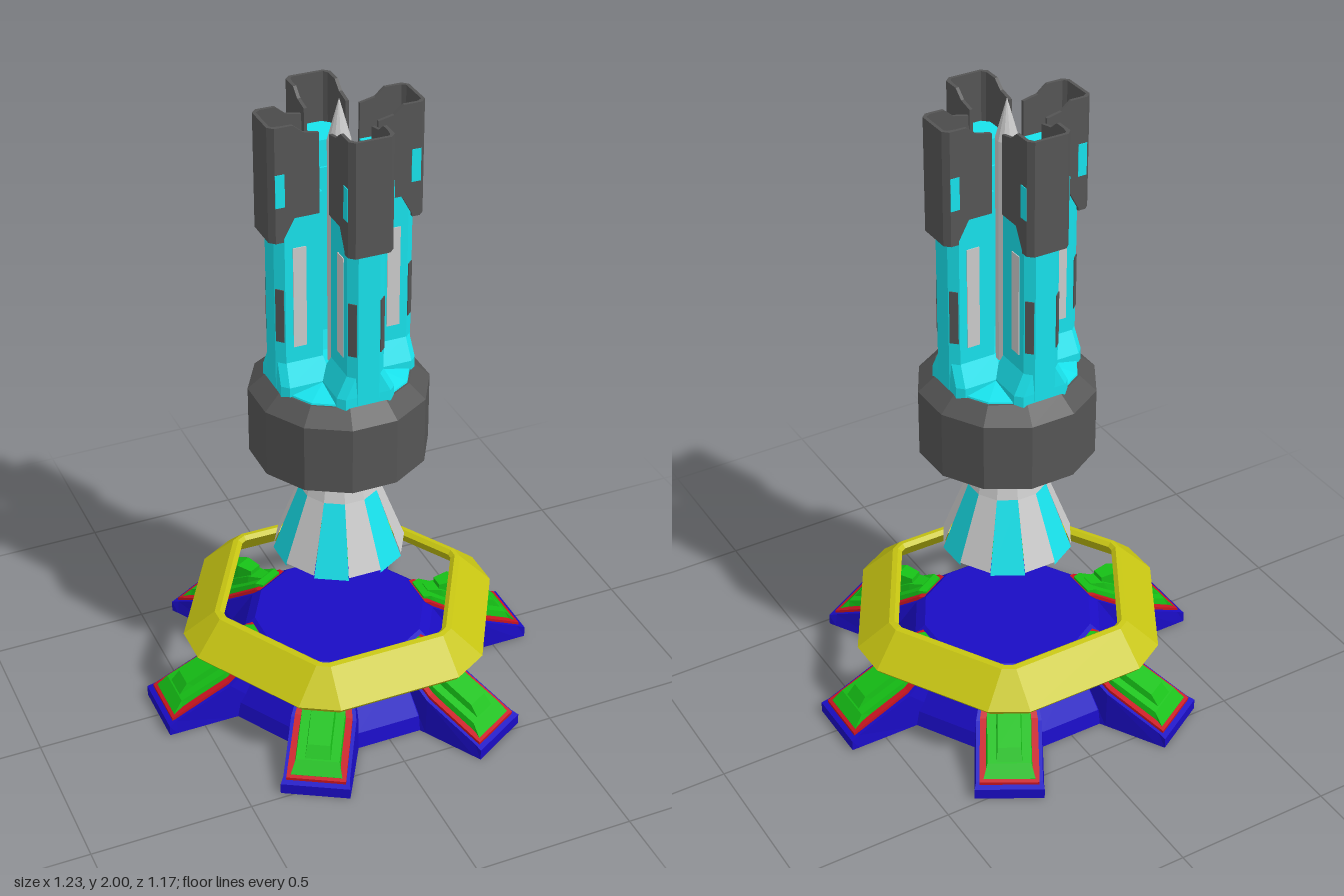
import * as THREE from 'three';

const mat = (color) => new THREE.MeshStandardMaterial({ color, flatShading: true });
const BLUE = mat(0x1a0cc4), GREEN = mat(0x16c016), RED = mat(0xc81420), YELLOW = mat(0xc6c412);
const CYAN = mat(0x18e2ec), DARK = mat(0x555555), GREY = mat(0xcccccc);

// Joins rings of [x, y, z] points (counter-clockwise about the direction of travel)
function loft(name, material, rings, { caps = true, closed = false, keep = () => true } = {}) {
  const pos = [], n = rings[0].length, m = rings.length;
  const tri = (...p) => p.forEach((q) => pos.push(...q));
  for (let i = 0; i < (closed ? m : m - 1); i++) {
    const lo = rings[i], hi = rings[(i + 1) % m];
    for (let j = 0; j < n; j++) {
      if (!keep(j)) continue;
      const k = (j + 1) % n;
      tri(lo[j], lo[k], hi[k]);
      tri(lo[j], hi[k], hi[j]);
    }
  }
  if (caps && !closed) {
    for (let j = 1; j < n - 1; j++) {
      tri(rings[0][0], rings[0][j + 1], rings[0][j]);
      tri(rings[m - 1][0], rings[m - 1][j], rings[m - 1][j + 1]);
    }
  }
  const g = new THREE.BufferGeometry();
  g.setAttribute('position', new THREE.Float32BufferAttribute(pos, 3));
  g.computeVertexNormals();
  const mesh = new THREE.Mesh(g, material);
  mesh.name = name;
  return mesh;
}

// Twelve-sided ring with flats facing the axes; r is the distance to the flats
const dodecagon = (r, y) => Array.from({ length: 12 }, (_, j) => {
  const a = ((j - 0.5) * Math.PI) / 6, c = r / Math.cos(Math.PI / 12);
  return [c * Math.sin(a), y, c * Math.cos(a)];
});
const turned = (name, material, profile, opts) =>
  loft(name, material, profile.map(([r, y]) => dodecagon(r, y)), opts);

// Slab running outwards along +x; stations are [x, bottom, top, bottomHalfWidth, topHalfWidth]
const slab = (name, material, stations) => loft(name, material,
  stations.map(([x, y0, y1, h0, h1 = h0]) => [[x, y0, -h0], [x, y1, -h1], [x, y1, h1], [x, y0, h0]]));

// Vertical prism from a plan outline of [x, z]
const prism = (name, material, outline, levels) =>
  loft(name, material, levels.map((y) => outline.map(([x, z]) => [x, y, z])));

function box(name, material, size, at) {
  const mesh = new THREE.Mesh(new THREE.BoxGeometry(...size), material);
  mesh.position.set(...at);
  mesh.name = name;
  return mesh;
}

function baseArm() {
  const g = new THREE.Group();
  g.name = 'baseArm';
  g.add(
    slab('armFoot', BLUE, [[0.2, 0, 0.21, 0.105, 0.065], [0.28, 0, 0.205, 0.105, 0.075],
      [0.41, 0, 0.125, 0.105, 0.1], [0.59, 0, 0.045, 0.105, 0.1], [0.615, 0, 0.035, 0.105]]),
    slab('armTrim', RED, [[0.265, 0.1, 0.217, 0.06], [0.29, 0.1, 0.212, 0.066],
      [0.41, 0.05, 0.135, 0.088], [0.6, 0.02, 0.05, 0.09]]),
    slab('armPlate', GREEN, [[0.275, 0.1, 0.222, 0.046, 0.042], [0.3, 0.1, 0.222, 0.054, 0.05],
      [0.41, 0.05, 0.155, 0.076, 0.066], [0.56, 0.02, 0.09, 0.078, 0.066], [0.59, 0.02, 0.055, 0.078]]),
    slab('armRidge', GREEN, [[0.3, 0.1, 0.225, 0.03, 0.02], [0.345, 0.1, 0.218, 0.04, 0.03],
      [0.42, 0.05, 0.175, 0.05, 0.035], [0.53, 0.03, 0.125, 0.05, 0.035], [0.565, 0.02, 0.08, 0.05, 0.04]]),
    slab('ringStrut', GREEN, [[0.34, 0.15, 0.235, 0.022], [0.39, 0.15, 0.24, 0.028], [0.45, 0.19, 0.215, 0.03]]),
  );
  return g;
}

// Hexagon with cut corners; c is the distance to the corner cuts
function hexRing([c, y]) {
  const apothem = 0.465 - (0.5 - c) * 1.1, t = (apothem / Math.cos(Math.PI / 6) - c) * Math.sqrt(3);
  const ring = [];
  for (let i = 0; i < 6; i++) {
    const a = Math.PI / 2 + (i * Math.PI) / 3;
    for (const s of [-t, t]) {
      ring.push([c * Math.sin(a) + s * Math.cos(a), y, c * Math.cos(a) - s * Math.sin(a)]);
    }
  }
  return ring;
}

// One of the four upright blades, built towards +z
function blade() {
  const g = new THREE.Group();
  g.name = 'blade';
  const plan = (w, inner, outer, cut) => [[-w, inner], [-w, outer - cut], [cut - w, outer],
    [w - cut, outer], [w, outer - cut], [w, inner]];
  const body = plan(0.057, 0.075, 0.213, 0.024);
  g.add(prism('bladeBody', CYAN, body, [1.14, 1.76]));
  g.add(loft('bladeTop', CYAN, [[0.055, 0.08, 0.205, 1.74], [0.052, 0.085, 0.2, 1.84]]
    .map(([w, a, b, y]) => plan(w, a, b, 0.02).map(([x, z]) => [x, y, z]))));
  g.add(loft('bladeFoot', CYAN, [[0.09, 0.06, 0.212, 1.13], [0.09, 0.06, 0.212, 1.165], [0.057, 0.075, 0.208, 1.23]]
    .map(([w, a, b, y]) => plan(w, a, b, 0.02).map(([x, z]) => [x, y, z]))));

  // Dark sleeve: folded outer wall and two cheeks
  const w = 0.068, c = 0.016, t = 0.01;
  g.add(prism('sleeveWall', DARK, [[w - c, 0.235], [w, 0.235 - c], [w, 0.195], [w - t, 0.195],
    [w - t, 0.231 - c], [w - c - 0.004, 0.225]], [1.63, 1.98]));
  g.add(prism('sleeveWall', DARK, [[-w, 0.195], [-w, 0.235 - c], [c - w, 0.235],
    [c - w + 0.004, 0.225], [t - w, 0.231 - c], [t - w, 0.195]], [1.63, 1.98]));
  g.add(box('sleeveFront', DARK, [2 * (w - c), 0.35, t], [0, 1.805, 0.23]));
  const cheek = new THREE.Shape([[0.2, 1.63], [0.2, 1.98], [0.165, 1.98], [0.135, 1.955], [0.088, 1.945],
    [0.088, 1.7], [0.162, 1.7]].map(([z, y]) => new THREE.Vector2(-z, y)));
  const cheekGeo = new THREE.ExtrudeGeometry(cheek, { depth: t, bevelEnabled: false });
  cheekGeo.rotateY(Math.PI / 2);
  for (const s of [-1, 1]) {
    const m = new THREE.Mesh(cheekGeo, DARK);
    m.name = 'sleeveCheek';
    m.position.x = s > 0 ? w - t : -w;
    g.add(m);
    g.add(box('sleeveWindow', CYAN, [0.004, 0.1, 0.028], [s * w, 1.79, 0.205]));
    g.add(box('sideSlot', GREY, [0.005, 0.32, 0.04], [s * 0.057, 1.44, 0.145]));
    // Dark vent let into the bevelled corner
    const vent = box('cornerVent', DARK, [0.026, 0.17, 0.006], [s * 0.045, 1.385, 0.201]);
    vent.rotation.y = (s * Math.PI) / 4;
    g.add(vent);
  }
  return g;
}

export function createModel() {
  const model = new THREE.Group();

  // Base
  const base = new THREE.Group();
  base.name = 'base';
  base.add(turned('hub', BLUE, [[0.39, 0], [0.38, 0.05], [0.29, 0.2], [0.26, 0.225]]));
  for (let i = 0; i < 6; i++) {
    const arm = baseArm();
    arm.rotation.y = (i * Math.PI) / 3;
    base.add(arm);
  }
  base.add(loft('ring', YELLOW, [[0.485, 0.22], [0.5, 0.24], [0.41, 0.33], [0.395, 0.333],
    [0.383, 0.322], [0.465, 0.22]].map(hexRing), { closed: true }));
  model.add(base);

  // Floating tower
  const tower = new THREE.Group();
  tower.name = 'tower';
  tower.position.set(-0.007, 0, 0.014);
  const odd = (j) => j % 2 === 1, even = (j) => j % 2 === 0;
  tower.add(
    turned('crystalCollar', GREY, [[0.118, 0.73], [0.102, 0.8]], { caps: false }),
    turned('crystalRibs', GREY, [[0.006, 0.37], [0.197, 0.515], [0.118, 0.73]], { caps: false, keep: even }),
    turned('crystalPanels', CYAN, [[0.006, 0.37], [0.197, 0.505], [0.118, 0.73]], { caps: false, keep: odd }),
    turned('drum', DARK, [[0.11, 0.785], [0.262, 0.875], [0.262, 1.09], [0.212, 1.135]]),
    turned('drumCap', CYAN, [[0.208, 1.13], [0.205, 1.14], [0.09, 1.17]]),
  );
  for (let i = 0; i < 4; i++) {
    const b = blade();
    b.rotation.y = (i * Math.PI) / 2;
    tower.add(b);
  }
  tower.add(turned('centreRod', GREY, [[0.033, 1.15], [0.033, 1.88], [0.001, 2]]));
  model.add(tower);
  return model;
}
